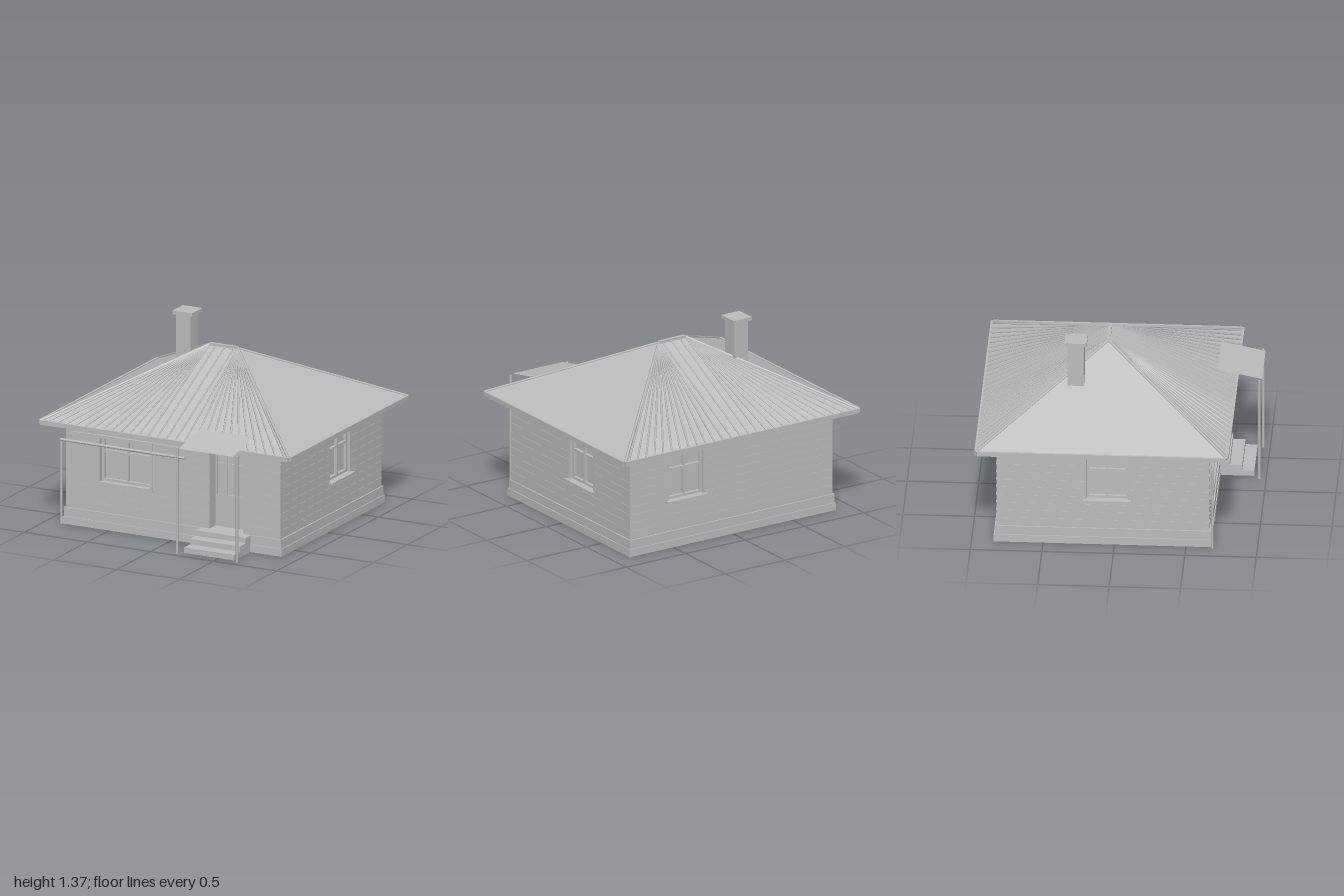
import * as THREE from 'three';

export function createModel() {
  const house = new THREE.Group();
  house.name = 'house';
  const grey = new THREE.MeshStandardMaterial({ color: 0xbcbcbc, side: THREE.DoubleSide });
  grey.name = 'plain grey';

  const add = (name, geo, parent = house) => {
    const m = new THREE.Mesh(geo, grey);
    m.name = name;
    parent.add(m);
    return m;
  };
  // box given by its limits on each axis
  const box = (name, x0, x1, y0, y1, z0, z1, parent) => {
    const g = new THREE.BoxGeometry(x1 - x0, y1 - y0, z1 - z0);
    g.translate((x0 + x1) / 2, (y0 + y1) / 2, (z0 + z1) / 2);
    return add(name, g, parent);
  };
  // round bar between two points
  const bar = (name, a, b, r, sides = 8) => {
    const p = new THREE.Vector3(...a), q = new THREE.Vector3(...b);
    const m = add(name, new THREE.CylinderGeometry(r, r, p.distanceTo(q), sides));
    m.position.copy(p).add(q).multiplyScalar(0.5);
    m.quaternion.setFromUnitVectors(new THREE.Vector3(0, 1, 0), q.sub(p).normalize());
    return m;
  };

  const midZ = -0.082, halfX = 0.85, halfZ = 0.745;

  // stepped foundation
  box('foundationBase', -0.867, 0.867, 0, 0.055, midZ - 0.763, midZ + 0.763);
  box('foundationTop', -0.86, 0.86, 0.055, 0.12, midZ - 0.756, midZ + 0.756);

  // framed window in wall coordinates: u along the wall, z outward
  const addWindow = (wall, o) => {
    const { x0, x1, y0, y1 } = o, f = 0.018, w = 0.007;
    const mid = (x0 + x1) / 2, transom = y0 + (y1 - y0) * 0.68;
    box('windowPane', x0, x1, y0, y1, -0.06, -0.045, wall);
    for (const s of [[x0, x0 + f], [x1 - f, x1], [mid - w, mid + w]])
      box('windowUpright', s[0], s[1], y0, y1, -0.045, -0.022, wall);
    for (const s of [[y0, y0 + f], [y1 - f, y1], [transom - w, transom + w]])
      box('windowCrossbar', x0, x1, s[0], s[1], -0.045, -0.023, wall);
    if (o.sill) box('windowSill', x0 - 0.022, x1 + 0.022, y0 - 0.011, y0, -0.04, 0.03, wall);
  };

  // wall with openings and lapped siding
  const addWall = (name, half, dist, turn, openings) => {
    const wall = new THREE.Group();
    wall.name = name;
    wall.rotation.y = turn;
    wall.position.set(Math.sin(turn) * dist, 0, midZ + Math.cos(turn) * dist);
    house.add(wall);
    const rect = (P, x0, x1, y0, y1) => {
      const p = new P();
      p.moveTo(x0, y0); p.lineTo(x1, y0); p.lineTo(x1, y1); p.lineTo(x0, y1); p.closePath();
      return p;
    };
    const shape = rect(THREE.Shape, -half, half, 0.1, 0.75);
    for (const o of openings) shape.holes.push(rect(THREE.Path, o.x0, o.x1, o.y0, o.y1));
    const g = new THREE.ExtrudeGeometry(shape, { depth: 0.1, bevelEnabled: false });
    g.translate(0, 0, -0.1);
    add('wallPanel', g, wall);
    // siding strips broken at the openings
    for (let i = 1; i < 10; i++) {
      const y = 0.12 + i * 0.06;
      let u = -half;
      for (const o of openings.filter(o => y > o.y0 - 0.015 && y < o.y1 + 0.01)) {
        box('sidingLap', u, o.x0 - 0.01, y, y + 0.004, -0.01, 0.002, wall);
        u = o.x1 + 0.01;
      }
      box('sidingLap', u, half, y, y + 0.004, -0.01, 0.002, wall);
    }
    box('cornice', -half - 0.005, half + 0.005, 0.722, 0.75, -0.02, 0.006, wall);
    for (const o of openings) if (!o.door) addWindow(wall, o);
    return wall;
  };
  const win = c => ({ x0: c - 0.147, x1: c + 0.147, y0: 0.346, y1: 0.67, sill: true });
  const frontWindow = { x0: -0.575, x1: -0.175, y0: 0.345, y1: 0.665 };
  const doorway = { x0: 0.288, x1: 0.553, y0: 0.12, y1: 0.682, door: true };
  const front = addWall('frontWall', halfX, halfZ, 0, [frontWindow, doorway]);
  addWall('rightSideWall', halfZ, halfX, Math.PI / 2, [win(0.135)]);
  addWall('leftSideWall', halfZ, halfX, -Math.PI / 2, [win(0.03)]);
  addWall('backWall', halfX, halfZ, Math.PI, [win(-0.38)]);

  // front window casing and shutters
  for (const x of [-0.595, -0.175]) box('casingUpright', x, x + 0.02, 0.326, 0.684, 0, 0.02, front);
  for (const y of [0.326, 0.664]) box('casingRail', -0.595, -0.155, y, y + 0.02, 0, 0.021, front);
  for (const x of [-0.795, -0.155]) box('shutter', x, x + 0.2, 0.335, 0.68, 0, 0.014, front);

  // recessed glazed door
  box('door', 0.288, 0.553, 0.12, 0.682, -0.1, -0.088, front);
  for (const x of [0.292, 0.372, 0.46, 0.527]) box('doorUpright', x, x + 0.014, 0.35, 0.67, -0.09, -0.078, front);
  for (const y of [0.345, 0.575, 0.658]) box('doorRail', 0.292, 0.541, y, y + 0.012, -0.09, -0.079, front);

  // entrance steps
  for (let i = 0; i < 3; i++)
    box('step', 0.222, 0.618, i * 0.04, (i + 1) * 0.04, 0.65, 0.915 - i * 0.085);

  // hipped roof body: eave corners and a short ridge
  const ex = 0.985, zf = 0.795, zb = -0.965, ey = 0.76, rx = 0.11, ry = 1.213, rz = -0.085;
  const A = [-ex, ey, zf], B = [ex, ey, zf], C = [ex, ey, zb], D = [-ex, ey, zb];
  const L = [-rx, ry, rz], R = [rx, ry, rz];
  const roof = new THREE.BufferGeometry();
  const tris = [A, B, R, A, R, L, B, C, R, C, D, L, C, L, R, D, A, L, A, D, C, A, C, B];
  roof.setAttribute('position', new THREE.Float32BufferAttribute(tris.flat(), 3));
  roof.computeVertexNormals();
  add('roof', roof);

  // standing ribs fanning from the ridge on the front and back slopes
  for (const z of [zf, zb])
    for (let i = -13; i <= 13; i++) {
      const x = 0.012 + i * 0.0725;
      if (Math.abs(x) > ex - 0.01) continue;
      const top = THREE.MathUtils.clamp(x, -rx, rx);
      bar('roofRib', [x, ey + 0.002, z], [top, ry, rz], 0.007, 5);
    }

  // hip and ridge caps
  for (const [corner, end] of [[A, L], [B, R], [C, R], [D, L]]) bar('hipCap', corner, end, 0.01, 6);
  box('ridgeCap', -rx, rx, ry - 0.01, ry + 0.012, rz - 0.012, rz + 0.012);

  // eave boards
  for (const s of [-1, 1]) {
    const x = s * 0.99;
    box('sideEaveBoard', x - 0.008, x + 0.008, 0.735, 0.768, zb + 0.01, zf - 0.01);
  }
  for (const z of [zf, zb]) box('eaveBoard', -0.982, 0.982, 0.735, 0.768, z - 0.008, z + 0.008);

  // chimney
  box('chimney', -0.462, -0.345, 0.9, 1.345, -0.351, -0.236);
  box('chimneyCap', -0.478, -0.325, 1.345, 1.37, -0.372, -0.217);

  // sloping canopy sheet over the door, on two posts
  const sheet = new THREE.PlaneGeometry(0.425, Math.hypot(0.31, 0.064));
  sheet.rotateX(-Math.PI / 2 + Math.atan2(0.064, 0.31));
  sheet.translate(0.4225, 0.803, 0.815);
  add('canopy', sheet);
  for (const x of [0.185, 0.66]) bar('canopyPost', [x, 0, 0.952], [x, 0.77, 0.952], 0.009, 10);

  // pipe along the front wall
  bar('pipeUpright', [-0.875, 0, 0.685], [-0.875, 0.62, 0.685], 0.009);
  bar('pipeRun', [-0.88, 0.612, 0.685], [0.104, 0.612, 0.685], 0.01);

  return house;
}
